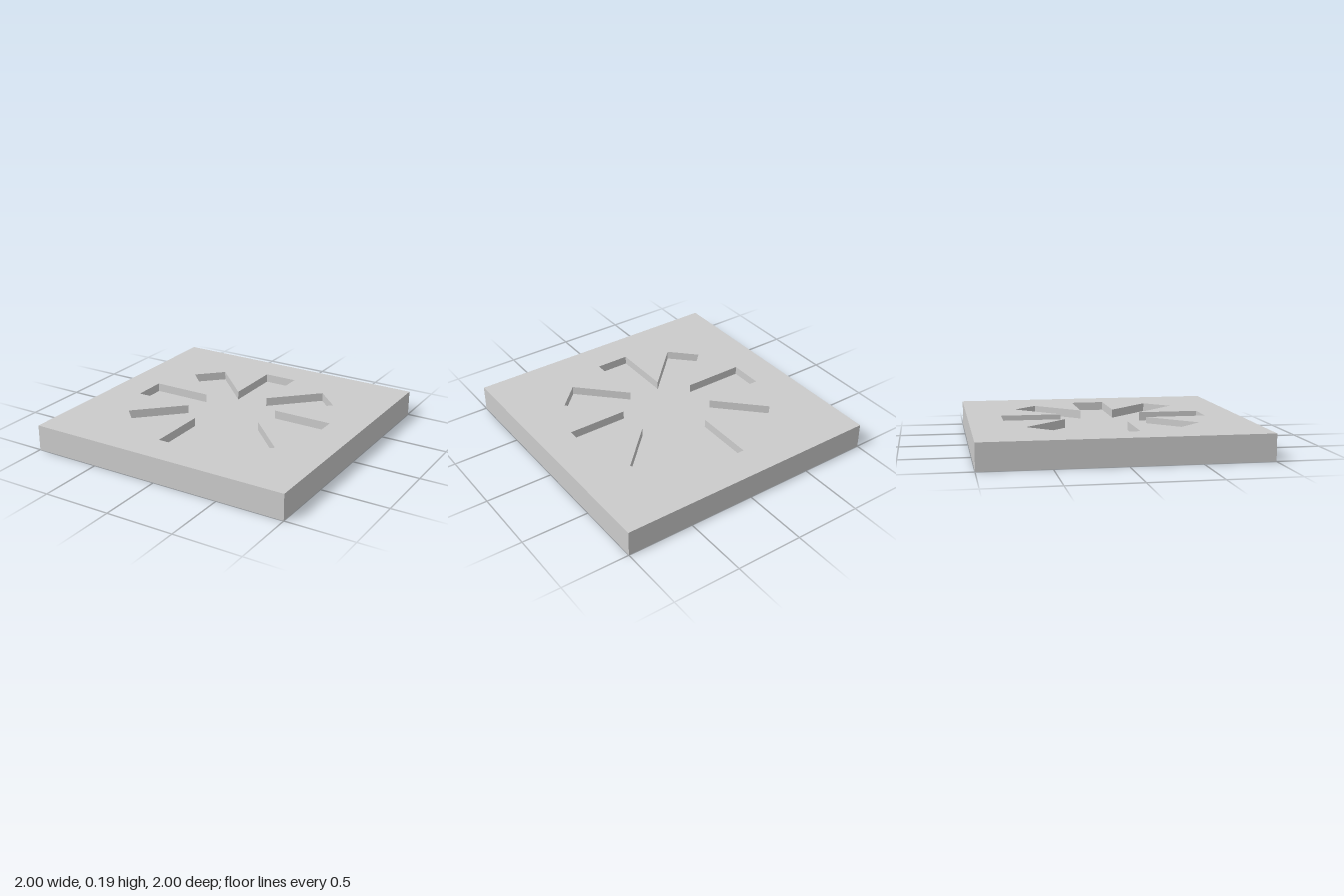
import * as THREE from 'three';

const SIZE = 2, HEIGHT = 0.19, FLOOR = 0.127; // slab width, slab height, pocket floor level
const ARMS = 8, HALF_WIDTH = 0.125, REACH = 0.75;

// Eight-armed star outline, counter-clockwise
function starPoints() {
  const points = [];
  const inner = HALF_WIDTH / Math.tan(Math.PI / ARMS);
  const centre = new THREE.Vector2();
  for (let i = 0; i < ARMS; i++) {
    const angle = (i * 2 * Math.PI) / ARMS;
    for (const [x, y] of [[REACH, -HALF_WIDTH], [REACH, HALF_WIDTH], [inner, HALF_WIDTH]]) {
      points.push(new THREE.Vector2(x, y).rotateAround(centre, angle));
    }
  }
  return points;
}

// Walls facing into the pocket, one quad per outline edge (z up, before laying flat)
function wallGeometry(points) {
  const position = [];
  points.forEach((a, i) => {
    const b = points[(i + 1) % points.length];
    position.push(
      b.x, b.y, FLOOR, a.x, a.y, FLOOR, a.x, a.y, HEIGHT,
      b.x, b.y, FLOOR, a.x, a.y, HEIGHT, b.x, b.y, HEIGHT);
  });
  const geometry = new THREE.BufferGeometry();
  geometry.setAttribute('position', new THREE.Float32BufferAttribute(position, 3));
  geometry.computeVertexNormals();
  return geometry;
}

export function createModel() {
  const group = new THREE.Group();
  group.name = 'slabWithStarPocket';
  const material = new THREE.MeshStandardMaterial({ color: 0xcccccc, flatShading: true });
  const add = (name, geometry) => {
    const mesh = new THREE.Mesh(geometry, material);
    mesh.name = name;
    group.add(mesh);
  };
  const star = starPoints();
  const h = SIZE / 2;

  // Sides and underside: a box without its top face
  const box = new THREE.BoxGeometry(SIZE, HEIGHT, SIZE).translate(0, HEIGHT / 2, 0);
  const index = Array.from(box.index.array);
  index.splice(12, 6);
  box.setIndex(index);
  box.clearGroups();
  add('slabBody', box);

  // Top face with the star cut out
  const top = new THREE.Shape([[-h, -h], [h, -h], [h, h], [-h, h]].map(([x, y]) => new THREE.Vector2(x, y)));
  top.holes.push(new THREE.Path(star));
  add('slabTop', new THREE.ShapeGeometry(top).rotateX(-Math.PI / 2).translate(0, HEIGHT, 0));

  // Recessed star
  add('pocketFloor', new THREE.ShapeGeometry(new THREE.Shape(star)).rotateX(-Math.PI / 2).translate(0, FLOOR, 0));
  add('pocketWalls', wallGeometry(star).rotateX(-Math.PI / 2));

  return group;
}
